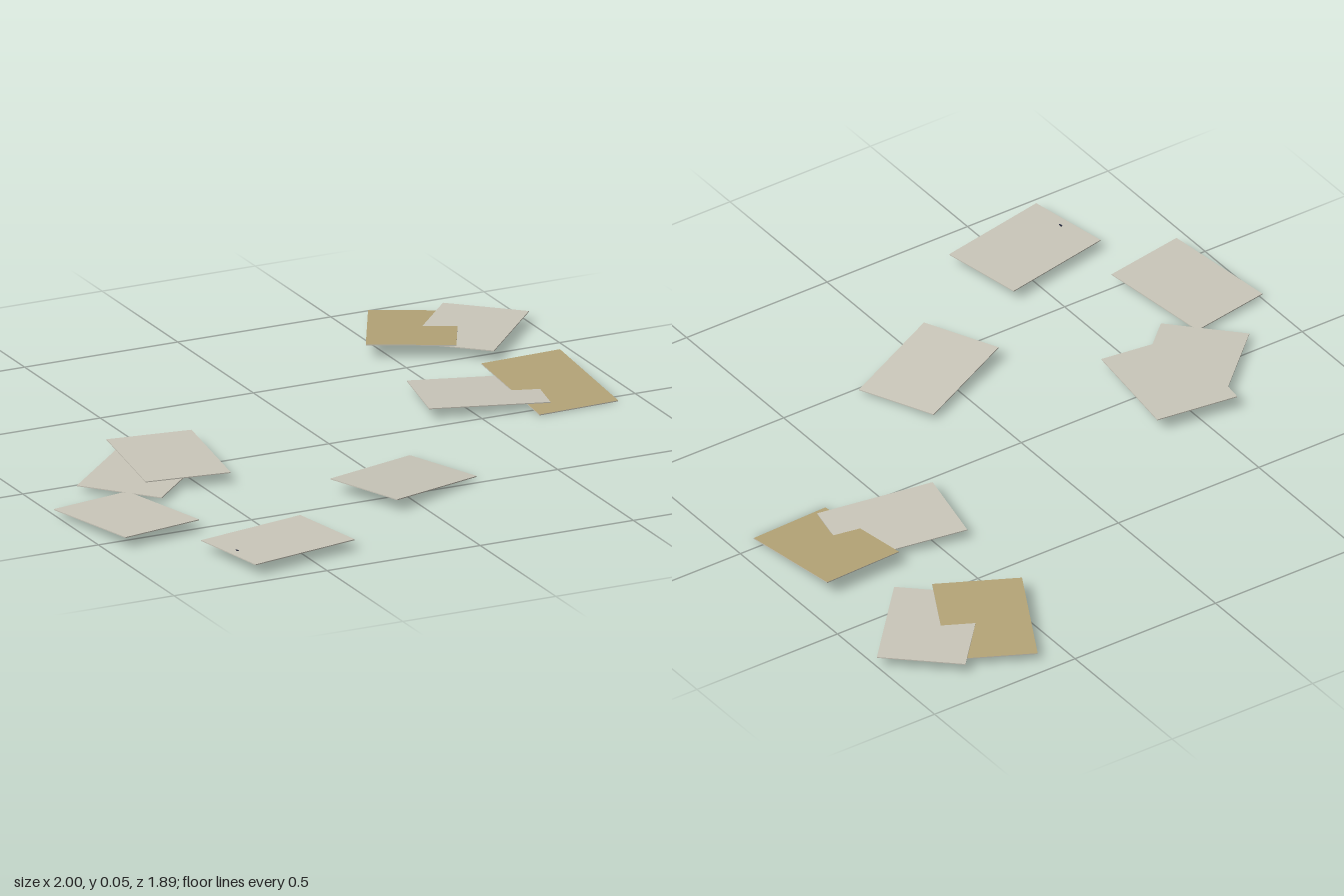
import * as THREE from 'three';

function flat(name, color) {
  const m = new THREE.MeshStandardMaterial({ color });
  m.name = name;
  return m;
}
const paper = flat('greyPaper', 0xcac7ba);
const tan = flat('tanPaper', 0xb4a477);
const ink = flat('darkInk', 0x24283c);

const THICKNESS = 0.003;

// Three neighbouring top corners of each sheet, clockwise from above
const sheets = [
  ['frontSheet', paper, [-0.754, 0.035, 0.682], [-0.396, 0.035, 0.612], [-0.348, 0.035, 0.874]],
  ['middleSheet', paper, [-0.187, 0.045, 0.388], [0.144, 0.02, 0.243], [0.246, 0.014, 0.479]],
  ['outerSheet', paper, [-1, 0.019, 0.205], [-0.738, 0.019, 0.16], [-0.68, 0.036, 0.518]],
  ['upperStackedSheet', paper, [-0.62, 0.044, -0.215], [-0.36, 0.044, -0.18], [-0.41, 0.034, 0.18]],
  ['lowerStackedSheet', paper, [-0.85, 0.022, 0.055], [-0.585, 0.029, -0.19], [-0.405, 0.025, 0.005]],
  ['crossedSheet', paper, [0.41, 0.034, -0.315], [0.769, 0.022, -0.24], [0.716, 0.024, 0.015]],
  ['tiltedTanSheet', tan, [0.652, 0.05, -0.313], [0.914, 0.05, -0.323], [0.925, 0.004, 0.04]],
  ['rearTanSheet', tan, [0.594, 0.026, -0.944], [0.829, 0.026, -0.821], [0.663, 0.046, -0.5]],
  ['rearSheet', paper, [0.807, 0.035, -0.88], [1, 0.035, -0.703], [0.754, 0.035, -0.436]],
];

// Thin slab hanging below the parallelogram spanned by corners a, b, c
function slab(a, b, c) {
  const along = b.clone().sub(a);
  const across = c.clone().sub(b);
  const centre = a.clone().add(c).multiplyScalar(0.5);
  centre.y -= THICKNESS / 2;
  const placement = new THREE.Matrix4()
    .makeBasis(along, new THREE.Vector3(0, THICKNESS, 0), across)
    .setPosition(centre);
  return new THREE.BoxGeometry(1, 1, 1).applyMatrix4(placement);
}

export function createModel() {
  const model = new THREE.Group();
  model.name = 'scatteredPapers';
  for (const [name, top, ...points] of sheets) {
    const corners = points.map((p) => new THREE.Vector3(...p));
    // coloured top face, plain grey edges and underside
    const sheet = new THREE.Mesh(slab(...corners), [paper, paper, top, paper, paper, paper]);
    sheet.name = name;
    model.add(sheet);
  }

  // tiny ink speck on the front sheet
  const speck = new THREE.Mesh(new THREE.BoxGeometry(0.005, 0.001, 0.012), ink);
  speck.name = 'inkSpeck';
  speck.position.set(-0.7, 0.0355, 0.81);
  model.add(speck);
  return model;
}
